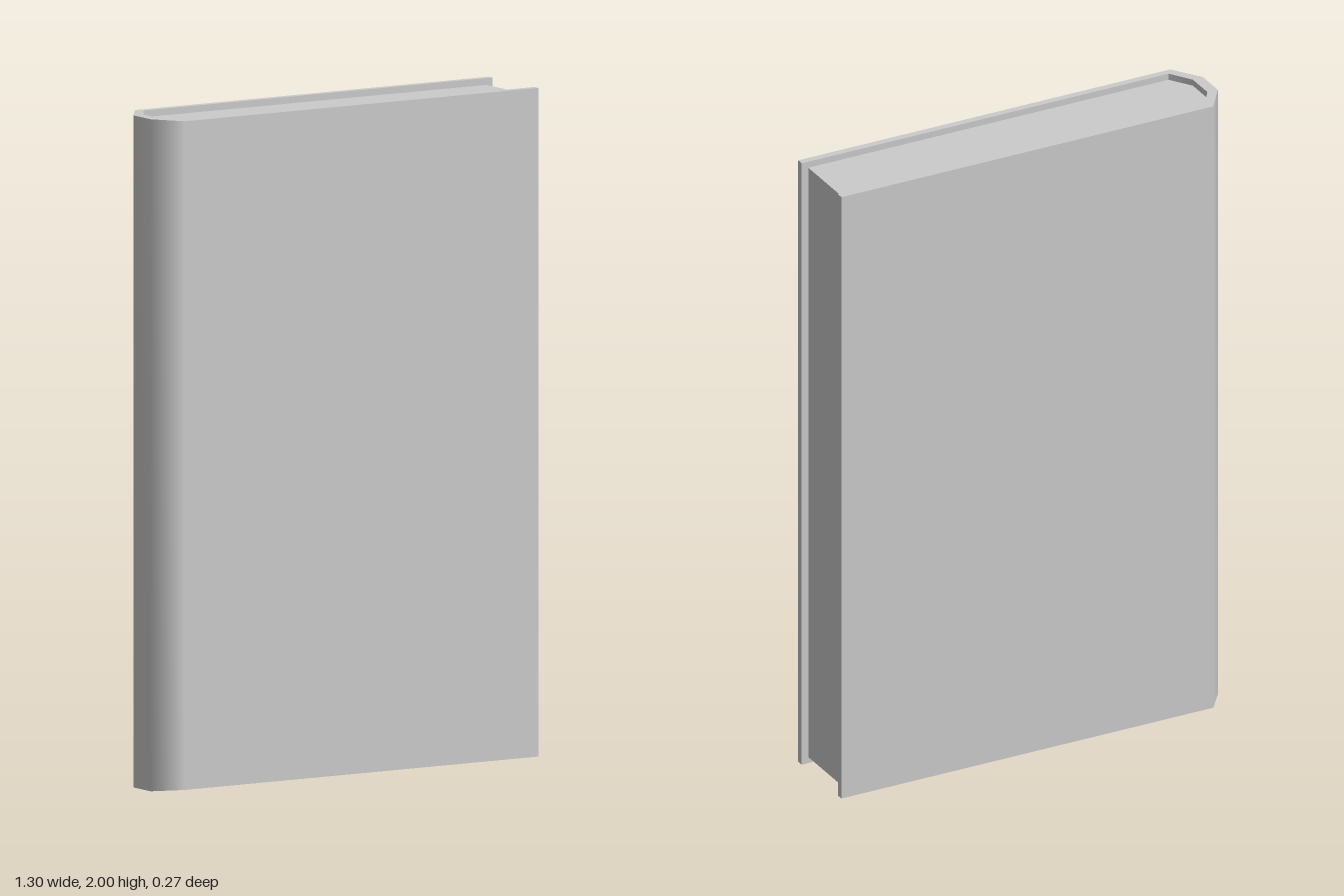
import * as THREE from 'three';
import { toCreasedNormals } from 'three/addons/utils/BufferGeometryUtils.js';

const material = new THREE.MeshStandardMaterial({ color: 0xcccccc });
const mirror = (half) => [...half, ...half.map(([x, z]) => [x, -z]).reverse()];

// Extrudes a plan outline (x, z) upward from y0 to y1; the bottom dips slightly at the spine
function upright(points, y0, y1) {
  const shape = new THREE.Shape(points.map(([x, z]) => new THREE.Vector2(x, z)));
  const geo = new THREE.ExtrudeGeometry(shape, { depth: y1 - y0, bevelEnabled: false });
  geo.rotateX(-Math.PI / 2).translate(0, y0, 0);
  const p = geo.attributes.position;
  for (let i = 0; i < p.count; i++) {
    if (p.getY(i) < 1) {
      const dip = THREE.MathUtils.clamp((-0.59 - p.getX(i)) / 0.06, 0, 1);
      p.setY(i, p.getY(i) - 0.01 * dip);
    }
  }
  return toCreasedNormals(geo, 0.7);
}

export function createModel() {
  const book = new THREE.Group();
  book.name = 'book';

  // Cover: two boards joined by a faceted, smooth-shaded spine
  const outer = [[0.652, 0.135], [-0.59, 0.135], [-0.652, 0.047]];
  const inner = [[0.652, 0.113], [-0.573, 0.113], [-0.618, 0.045]];
  const coverGeo = upright([...mirror(outer), ...mirror(inner).reverse()], 0.01, 2);

  // Blend the spine's shading into the flat boards
  const p = coverGeo.attributes.position, n = coverGeo.attributes.normal;
  for (let i = 0; i < p.count; i++) {
    const onHinge = Math.abs(p.getX(i) + 0.59) < 0.002;
    if (onHinge && Math.abs(n.getY(i)) < 0.5) n.setXYZ(i, 0, 0, Math.sign(p.getZ(i)));
  }
  const cover = new THREE.Mesh(coverGeo, material);
  cover.name = 'cover';

  // Page block, set in from the cover at the top, bottom and fore edge
  const pageOutline = mirror([[0.63, 0.113], [-0.573, 0.113], [-0.618, 0.045]]);
  const pages = new THREE.Mesh(upright(pageOutline, 0.03, 1.98), material);
  pages.name = 'pages';

  book.add(cover, pages);
  return book;
}
